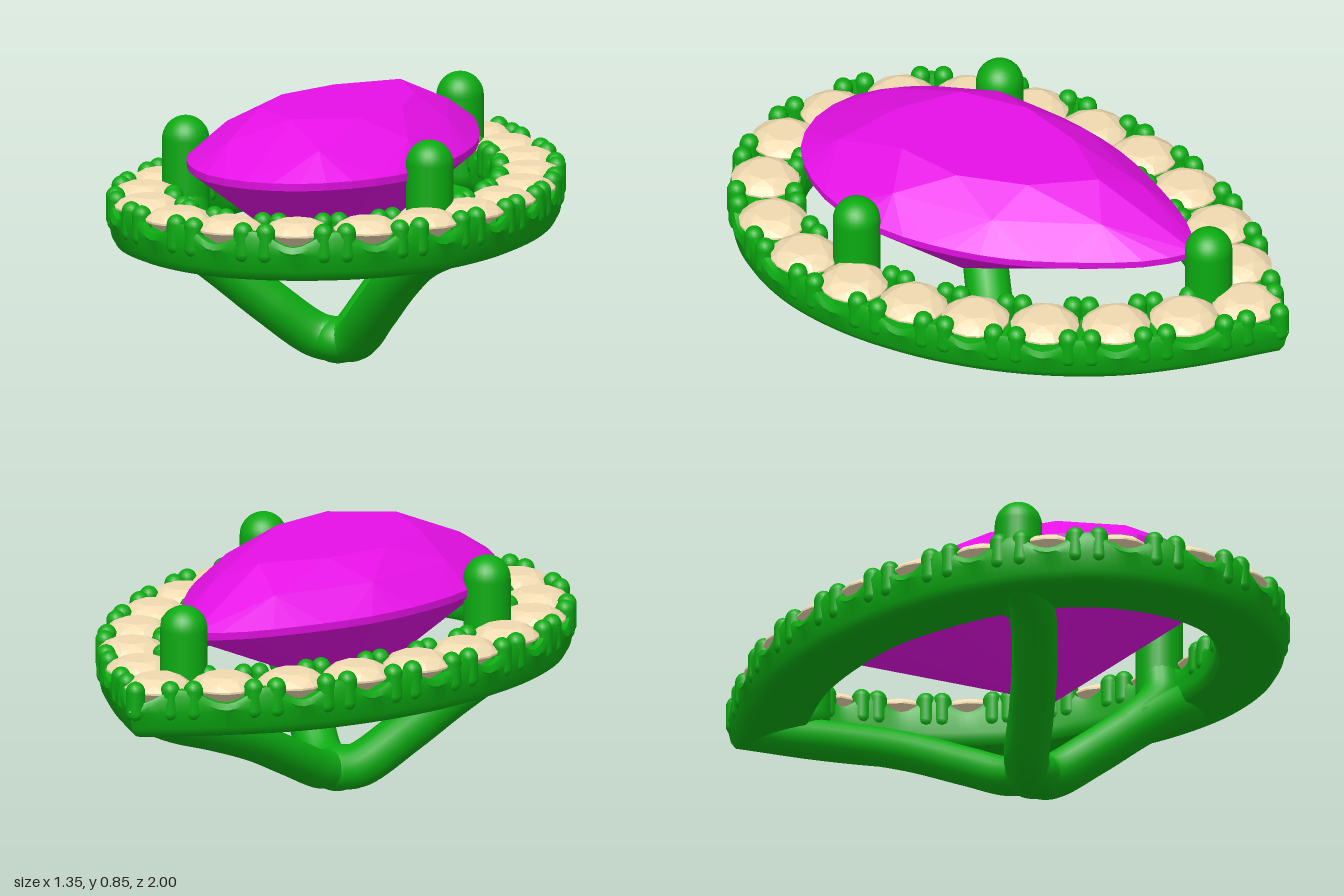
import * as THREE from 'three';
import { toCreasedNormals } from 'three/addons/utils/BufferGeometryUtils.js';
import { ConvexGeometry } from 'three/addons/geometries/ConvexGeometry.js';

const V = (x, y, z) => new THREE.Vector3(x, y, z);
const metal = new THREE.MeshStandardMaterial({ color: 0x0cab12 });
const gemMat = new THREE.MeshStandardMaterial({ color: 0xe610e6, flatShading: true });
const stoneMat = new THREE.MeshStandardMaterial({ color: 0xf0dab0, flatShading: true });
const STONES = 20;

// Closed pear outline from half points [x, z], back tip -> +x side -> front -> -x side -> tip
function pear(half) {
  const right = half.map(([x, z]) => V(x, 0, z));
  const left = half.slice(0, -1).reverse().map(([x, z]) => V(-x, 0, z));
  return new THREE.CatmullRomCurve3([...right, ...left]);
}

const outer = pear([[0, -1], [0.24, -0.795], [0.41, -0.61], [0.535, -0.4], [0.62, -0.17], [0.665, 0.06],
  [0.668, 0.31], [0.61, 0.56], [0.475, 0.78], [0.255, 0.94], [0, 1]]);
const inner = pear([[0, -0.7], [0.09, -0.62], [0.22, -0.48], [0.33, -0.3], [0.41, -0.11], [0.44, 0.08],
  [0.44, 0.27], [0.4, 0.45], [0.315, 0.6], [0.17, 0.72], [0, 0.77]]);
const girdle = pear([[0, -0.65], [0.11, -0.56], [0.24, -0.37], [0.345, -0.16], [0.4, 0.05], [0.415, 0.25],
  [0.385, 0.43], [0.3, 0.6], [0.16, 0.73], [0, 0.77]]);

// Point on the halo: u = 0 inner edge, u = 1 outer edge
function haloPoint(t, u, y) {
  const p = inner.getPoint(t).lerp(outer.getPoint(t), u);
  p.y = y;
  return p;
}

function add(group, name, geometry, material, position) {
  const mesh = new THREE.Mesh(geometry, material);
  mesh.name = name;
  if (position) mesh.position.copy(position);
  group.add(mesh);
  return mesh;
}

// Halo rail: channel section swept round the pear, rims scalloped beside each stone
function haloGeometry() {
  const steps = STONES * 10, pos = [], idx = [];
  for (let i = 0; i <= steps; i++) {
    const t = i / steps;
    const rim = 0.56 - 0.025 * Math.cos(t * STONES * Math.PI * 2);
    const section = [[0.06, 0.42], [0.01, 0.435], [0, 0.46], [0, rim - 0.02], [0.03, rim], [0.12, rim],
      [0.2, 0.52], [0.8, 0.52], [0.88, rim], [0.96, rim], [1, rim - 0.02], [0.985, 0.51],
      [0.94, 0.455], [0.88, 0.43], [0.78, 0.42]];
    section.forEach(([u, y]) => pos.push(...haloPoint(t, u, y).toArray()));
    const n = section.length;
    for (let j = 0; j < n && i < steps; j++) {
      const k = (j + 1) % n, a = i * n + j, b = a + n, c = i * n + k, d = c + n;
      idx.push(a, b, c, b, d, c);
    }
  }
  const g = new THREE.BufferGeometry();
  g.setAttribute('position', new THREE.Float32BufferAttribute(pos, 3));
  g.setIndex(idx);
  return toCreasedNormals(g, 0.7);
}

// Pear gem: rings of the girdle outline drawn in towards the table and culet
function gemGeometry() {
  const pts = [V(0, 0.31, 0.22)];
  const ring = (count, shift, scale, y) => {
    for (let i = 0; i < count; i++) {
      const p = girdle.getPointAt(((i + shift) / count) % 1);
      pts.push(V(p.x * scale, y, 0.12 + (p.z - 0.12) * scale));
    }
  };
  ring(8, 0, 0.53, 0.85);
  ring(8, 0.5, 0.8, 0.783);
  ring(40, 0, 1, 0.7);
  ring(40, 0, 0.995, 0.675);
  return new ConvexGeometry(pts);
}

// Small round stone
function stoneGeometry() {
  const pts = [V(0, -0.08, 0)];
  const ring = (count, shift, r, y) => {
    for (let i = 0; i < count; i++) {
      const a = ((i + shift) / count) * Math.PI * 2;
      pts.push(V(r * Math.cos(a), y, r * Math.sin(a)));
    }
  };
  ring(8, 0, 0.06, 0.033);
  ring(8, 0.5, 0.089, 0.02);
  ring(16, 0, 0.11, 0);
  ring(16, 0, 0.11, -0.006);
  return new ConvexGeometry(pts);
}

function strut(group, name, points, radius) {
  const curve = new THREE.CatmullRomCurve3(points.map((p) => V(...p)));
  add(group, name, new THREE.TubeGeometry(curve, 40, radius, 20), metal);
}

export function createModel() {
  const model = new THREE.Group();
  model.name = 'pearHaloSetting';

  add(model, 'haloRail', haloGeometry(), metal);
  add(model, 'centreGem', gemGeometry(), gemMat);

  // Stones, with a pair of bead prongs on both rims of every gap
  const stones = new THREE.Group(), beads = new THREE.Group();
  stones.name = 'haloStones';
  beads.name = 'beadProngs';
  model.add(stones, beads);
  const stoneGeo = stoneGeometry();
  const beadGeo = new THREE.CapsuleGeometry(0.031, 0.07, 6, 12);
  for (let i = 0; i < STONES; i++) {
    const t = i / STONES;
    const p = haloPoint(t, i === 0 ? 0.47 : 0.5, 0.572);
    const tangent = outer.getTangent(t);
    add(stones, 'haloStone', stoneGeo, stoneMat, p).rotation.y = -Math.atan2(tangent.z, tangent.x);
    const gap = (i + 0.5) / STONES;
    for (const u of [0.1, 0.88]) {
      const along = (u < 0.5 ? inner : outer).getTangent(gap);
      const spread = u < 0.5 ? 0.026 : 0.037;
      for (const s of [-1, 1]) {
        add(beads, 'beadProng', beadGeo, metal, haloPoint(gap, u, 0.544).addScaledVector(along, s * spread));
      }
    }
  }
  add(beads, 'tipBead', beadGeo, metal, V(0, 0.544, -0.965));

  // Three large claws holding the gem
  const clawGeo = new THREE.CapsuleGeometry(0.076, 0.25, 10, 24);
  for (const [x, z] of [[0.44, 0.35], [-0.44, 0.35], [0, -0.7]]) {
    add(model, 'claw', clawGeo, metal, V(x, 0.602, z));
  }

  // Basket: curved struts from the rail down to the hub
  for (const s of [-1, 1]) {
    strut(model, 'sideStrut', [[0, 0.075, 0.14], [s * 0.07, 0.09, 0.16], [s * 0.19, 0.2, 0.25],
      [s * 0.32, 0.33, 0.34], [s * 0.44, 0.43, 0.4], [s * 0.56, 0.49, 0.42]], 0.073);
    strut(model, 'sideBrace', [[s * 0.2, 0.21, 0.26], [s * 0.32, 0.34, 0.34], [s * 0.41, 0.45, 0.37],
      [s * 0.44, 0.56, 0.35]], 0.07);
  }
  strut(model, 'backStrut', [[0, 0.075, 0.14], [0, 0.09, 0.05], [0, 0.16, -0.1], [0, 0.265, -0.32],
    [0, 0.35, -0.54], [0, 0.42, -0.74], [0, 0.48, -0.88]], 0.063);
  add(model, 'hub', new THREE.SphereGeometry(0.075, 24, 16), metal, V(0, 0.075, 0.14)).scale.set(1.2, 1, 1.2);
  return model;
}
